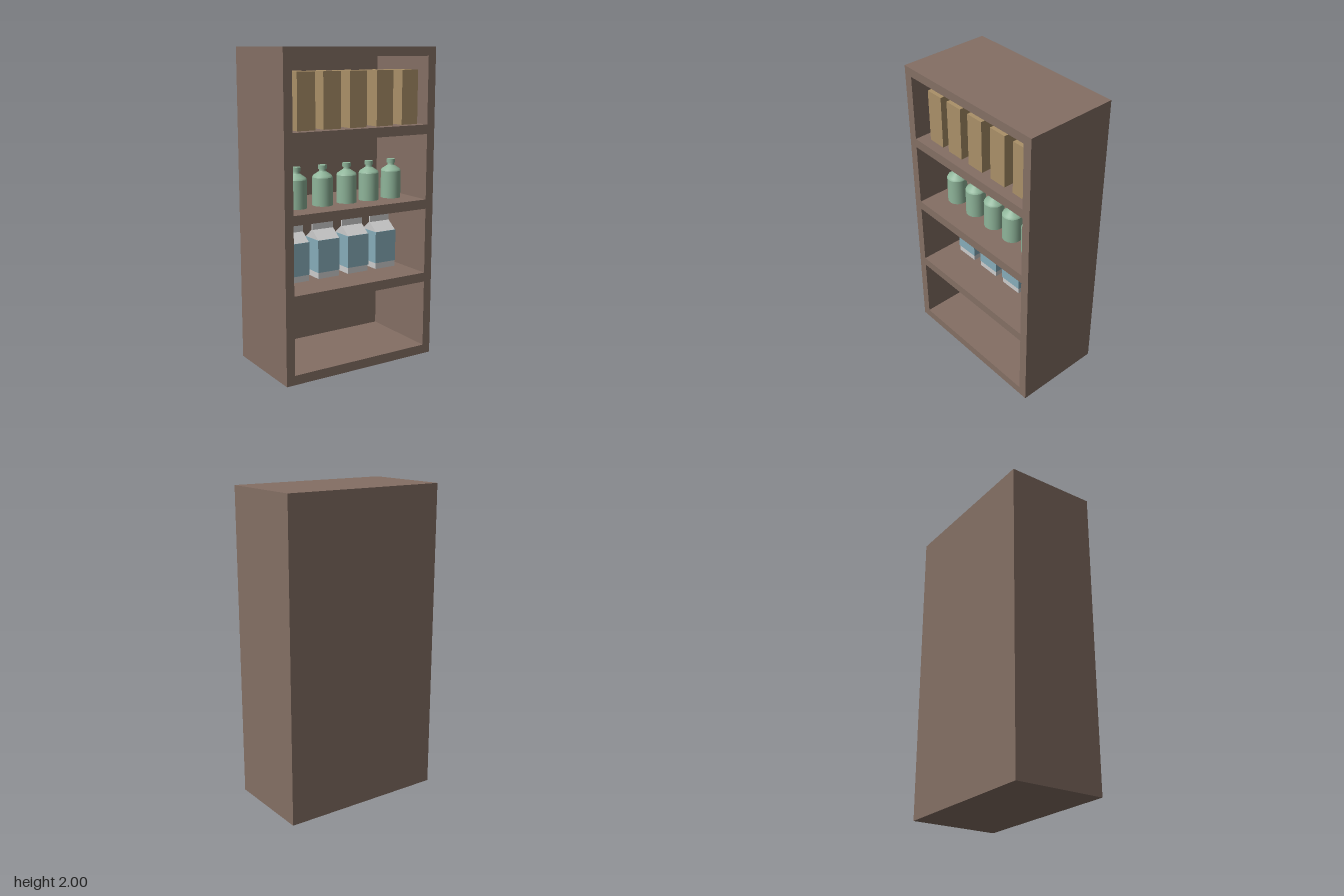
import * as THREE from 'three';

const W = 1.084, H = 2, D = 0.596, BACK = 0.05, INNER = 0.485;
const SHELVES = [[0.06, 0.495], [0.555, 0.98], [1.04, 1.46], [1.52, 1.945]];

const material = (color) => new THREE.MeshStandardMaterial({ color });
const wood = material(0x846f64);
const tan = material(0xaa9068);
const green = material(0x8fb59a);
const blue = material(0x86acb9);
const grey = material(0xcccccc);

function add(parent, name, geometry, mat, x = 0, y = 0, z = 0) {
  const mesh = new THREE.Mesh(geometry, mat);
  mesh.name = name;
  mesh.position.set(x, y, z);
  parent.add(mesh);
  return mesh;
}

function rectangle(path, x0, y0, x1, y1) {
  path.moveTo(x0, y0);
  path.lineTo(x1, y0);
  path.lineTo(x1, y1);
  path.lineTo(x0, y1);
  path.closePath();
  return path;
}

// Cabinet frame with four open compartments, closed by a back panel
function createCabinet() {
  const cabinet = new THREE.Group();
  cabinet.name = 'cabinet';
  const outline = rectangle(new THREE.Shape(), -W / 2, 0, W / 2, H);
  for (const [y0, y1] of SHELVES) {
    outline.holes.push(rectangle(new THREE.Path(), -INNER, y0, INNER, y1));
  }
  const frame = new THREE.ExtrudeGeometry(outline, { depth: D - BACK, bevelEnabled: false });
  add(cabinet, 'shelfFrame', frame, wood, 0, 0, -D / 2 + BACK);
  add(cabinet, 'backPanel', new THREE.BoxGeometry(W, H, BACK), wood, 0, H / 2, -D / 2 + BACK / 2);
  return cabinet;
}

// Bottle: separate lathed sections keep the shoulder and neck edges crisp
function createBottle() {
  const bottle = new THREE.Group();
  bottle.name = 'bottle';
  const lathe = (name, points) => add(bottle, name,
    new THREE.LatheGeometry(points.map(([r, y]) => new THREE.Vector2(r, y)), 32), green);
  lathe('bottleBase', [[0, 0], [0.064, 0]]);
  lathe('bottleBody', [[0.064, 0], [0.064, 0.175]]);
  lathe('bottleShoulder', [[0.064, 0.175], [0.058, 0.187], [0.024, 0.21]]);
  lathe('bottleNeck', [[0.024, 0.21], [0.02, 0.215], [0.02, 0.228]]);
  add(bottle, 'bottleCap', new THREE.CylinderGeometry(0.027, 0.027, 0.024, 32), green, 0, 0.238, 0);
  return bottle;
}

// Carton with a gable roof, a flat top fin and a coloured sleeve
function createCarton() {
  const carton = new THREE.Group();
  carton.name = 'carton';
  const w = 0.154, half = 0.077, fin = 0.006;
  const profile = new THREE.Shape();
  profile.moveTo(-half, 0);
  profile.lineTo(half, 0);
  profile.lineTo(half, 0.25);
  profile.lineTo(fin, 0.305);
  profile.lineTo(fin, 0.35);
  profile.lineTo(-fin, 0.35);
  profile.lineTo(-fin, 0.305);
  profile.lineTo(-half, 0.25);
  profile.closePath();
  const body = new THREE.ExtrudeGeometry(profile, { depth: w, bevelEnabled: false });
  body.translate(0, 0, -w / 2);
  body.rotateY(Math.PI / 2);
  add(carton, 'cartonBody', body, grey);
  add(carton, 'cartonSleeve', new THREE.BoxGeometry(0.16, 0.21, 0.16), blue, 0, 0.145, 0);
  return carton;
}

function createBox() {
  const box = new THREE.Group();
  box.name = 'tallBox';
  add(box, 'boxBody', new THREE.BoxGeometry(0.122, 0.34, 0.2), tan, 0, 0.17, 0);
  return box;
}

export function createModel() {
  const model = new THREE.Group();
  model.name = 'stockedShelf';
  model.add(createCabinet());

  // Rows of goods standing on the shelves
  const row = (create, xs, y, z) => xs.forEach((x) => {
    const item = create();
    item.position.set(x, y, z);
    model.add(item);
  });
  row(createBox, [-0.357, -0.18, 0.007, 0.203, 0.394], 1.52, 0.133);
  row(createBottle, [-0.35, -0.165, 0.012, 0.18, 0.354], 1.04, 0.095);
  row(createCarton, [-0.32, -0.096, 0.127, 0.345], 0.555, -0.02);
  return model;
}
